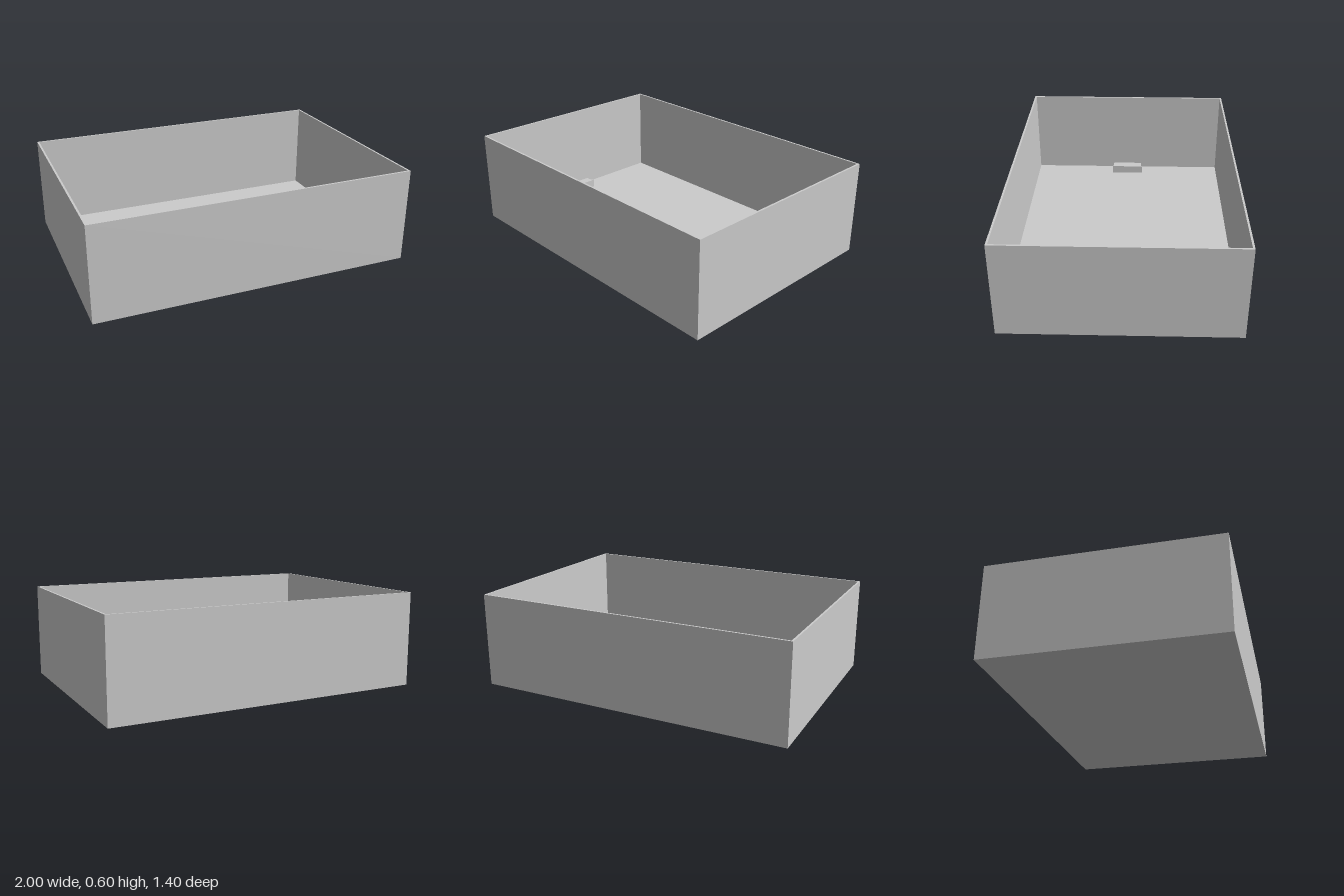
import * as THREE from 'three';

const W = 2, H = 0.595, D = 1.4, T = 0.012;
const material = new THREE.MeshStandardMaterial({ color: 0xcccccc });

function addBox(parent, name, size, position) {
  const mesh = new THREE.Mesh(new THREE.BoxGeometry(...size), material);
  mesh.name = name;
  mesh.position.set(...position);
  parent.add(mesh);
}

// Rectangle outline centred on the origin
function rectangle(Type, w, d) {
  return new Type([[-1, -1], [1, -1], [1, 1], [-1, 1]].map(
    ([x, y]) => new THREE.Vector2(x * w / 2, y * d / 2)));
}

export function createModel() {
  const model = new THREE.Group();
  model.name = 'openBox';

  // Thin walls: one rectangular ring raised from the ground
  const ring = rectangle(THREE.Shape, W, D);
  ring.holes.push(rectangle(THREE.Path, W - 2 * T, D - 2 * T));
  const wallGeometry = new THREE.ExtrudeGeometry(ring, { depth: H, bevelEnabled: false });
  wallGeometry.rotateX(-Math.PI / 2);
  const walls = new THREE.Mesh(wallGeometry, material);
  walls.name = 'walls';
  model.add(walls);

  // Floor panel between the walls
  addBox(model, 'floor', [W - 2 * T, T, D - 2 * T], [0, T / 2, 0]);

  // Low block with a thin face plate near each short wall
  for (const [side, label] of [[1, 'left'], [-1, 'right']]) {
    const block = new THREE.Group();
    block.name = label + 'FloorBlock';
    addBox(block, label + 'BlockBody', [0.06, 0.05, 0.21], [side * 0.922, T + 0.025, 0]);
    addBox(block, label + 'BlockPlate', [0.01, 0.055, 0.225], [side * 0.887, T + 0.0275, 0]);
    model.add(block);
  }
  return model;
}
